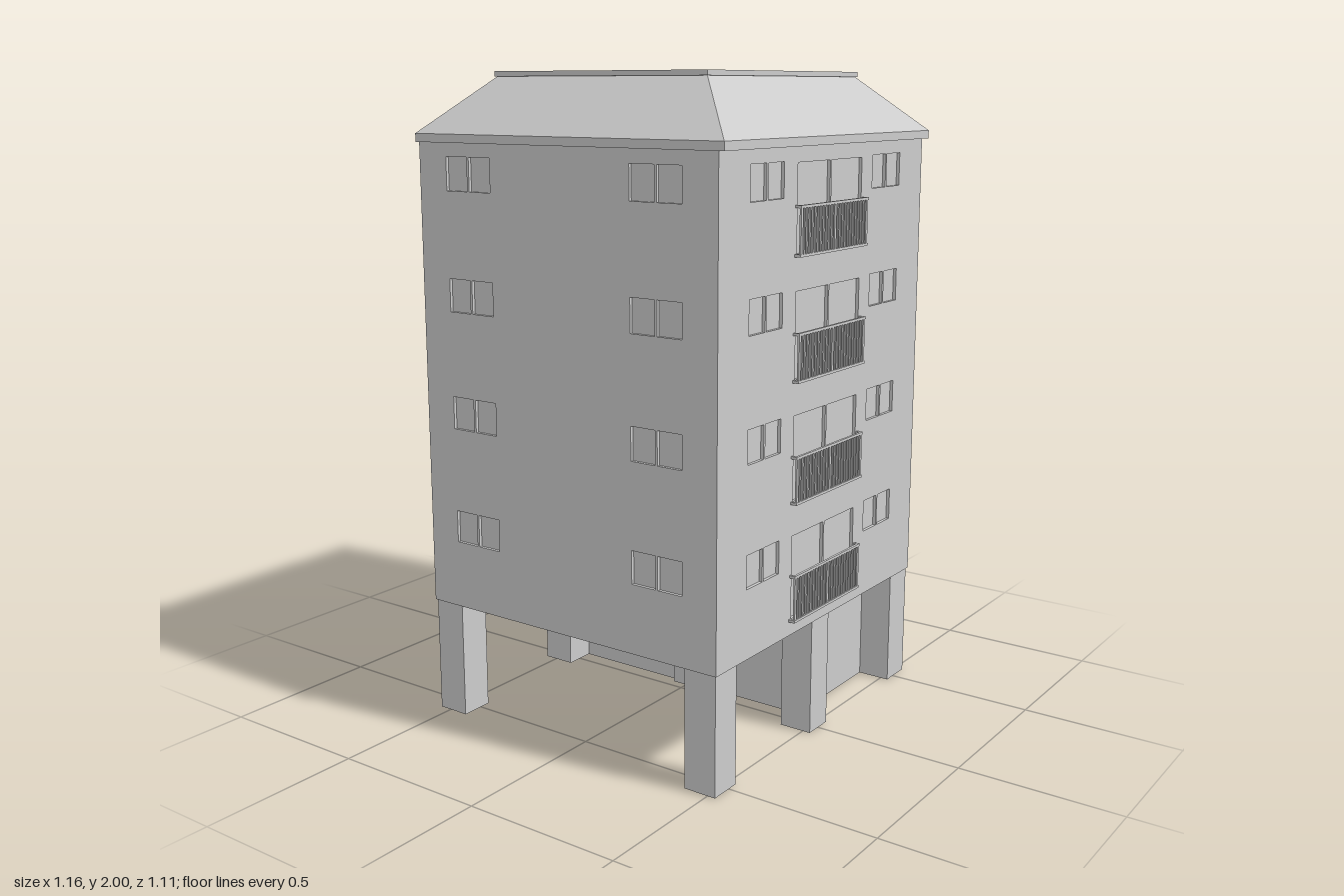
import * as THREE from 'three';

const mat = new THREE.MeshStandardMaterial({ color: 0xcccccc, flatShading: true });
const FLOORS = 4, STEP = 0.36;
const X = 0.575, Z0 = -0.545, Z1 = 0.53, ZC = (Z0 + Z1) / 2; // upper body extents
const Y0 = 0.365, Y1 = 1.8, RECESS = 0.01;

function add(parent, geo, name) {
  const m = new THREE.Mesh(geo, mat);
  m.name = name;
  parent.add(m);
  return m;
}

// Box given by its limits on each axis
function box(parent, name, [x0, x1], [y0, y1], [z0, z1]) {
  const m = add(parent, new THREE.BoxGeometry(x1 - x0, y1 - y0, z1 - z0), name);
  m.position.set((x0 + x1) / 2, (y0 + y1) / 2, (z0 + z1) / 2);
  return m;
}

function rect(target, x0, x1, y0, y1) {
  target.moveTo(x0, y0).lineTo(x1, y0).lineTo(x1, y1).lineTo(x0, y1).closePath();
  return target;
}

// Outer wall skin; each opening is [x0, x1, y0, y1, panes], repeated on every floor
function wall(parent, name, half, openings) {
  const shape = rect(new THREE.Shape(), -half, half, Y0, Y1);
  const gap = 0.004;
  for (let f = 0; f < FLOORS; f++) {
    for (const [x0, x1, y0, y1, panes] of openings) {
      const w = (x1 - x0) / panes;
      for (let i = 0; i < panes; i++) {
        shape.holes.push(rect(new THREE.Path(),
          x0 + i * w + (i ? gap : 0), x0 + (i + 1) * w - (i < panes - 1 ? gap : 0),
          y0 + f * STEP, y1 + f * STEP));
      }
    }
  }
  return add(parent, new THREE.ExtrudeGeometry(shape, { depth: RECESS, bevelEnabled: false }), name);
}

// Railing with top and bottom rails, bars and short returns to the wall
function balcony(y) {
  const g = new THREE.Group();
  g.name = 'balconyRailing';
  const h = 0.145, half = 0.195, zf = 0.55, t = 0.008;
  for (const ry of [y, y + h - t]) {
    box(g, 'rail', [-half, half], [ry, ry + t], [zf - t, zf]);
    for (const s of [-1, 1]) {
      const xs = s * (half - t / 2);
      box(g, 'railReturn', [xs - t / 2, xs + t / 2], [ry, ry + t], [Z1 - 0.002, zf - t]);
    }
  }
  const bars = 24;
  for (let i = 0; i <= bars; i++) {
    const x = -half + 0.008 + (i / bars) * (2 * half - 0.016);
    const w = i % 12 === 0 ? 0.005 : 0.003;
    box(g, 'bar', [x - w, x + w], [y + t, y + h - t], [zf - 0.007, zf - 0.001]);
  }
  return g;
}

export function createModel() {
  const model = new THREE.Group();
  model.name = 'apartmentBuilding';

  // Upper storeys: core behind four walls with recessed windows
  box(model, 'buildingCore', [-X + RECESS, X - RECESS], [Y0, Y1], [Z0 + RECESS, Z1 - RECESS]);
  const small = (a, b) => [a, b, 0.575, 0.675, 2];
  const front = wall(model, 'frontWall', X,
    [small(-0.425, -0.255), small(0.25, 0.425), [-0.183, 0.183, 0.415, 0.67, 2]]);
  front.position.z = Z1 - RECESS;
  const back = wall(model, 'backWall', X, [[-0.37, 0.37, 0.415, 0.67, 4]]);
  back.rotation.y = Math.PI;
  back.position.z = Z0 + RECESS;
  const sideHalf = (Z1 - Z0) / 2 - RECESS;
  for (const s of [-1, 1]) {
    // local x runs along -z on the left wall and +z on the right wall
    const spans = [[0.24, 0.415], [-0.437, -0.265]].map(([a, b]) => {
      const u = [-s * (a - ZC), -s * (b - ZC)].sort((p, q) => p - q);
      return small(u[0], u[1]);
    });
    const side = wall(model, s > 0 ? 'leftWall' : 'rightWall', sideHalf, spans);
    side.rotation.y = s * Math.PI / 2;
    side.position.set(s * (X - RECESS), 0, ZC);
  }

  // Balconies
  for (let f = 0; f < FLOORS; f++) model.add(balcony(0.408 + f * STEP));

  // Ground floor: closed half with recessed bays, open half on pillars
  const g0 = -0.54, g1 = 0.525, d = 0.105, H = [0, Y0];
  box(model, 'groundSideWall', [0.46, 0.57], H, [g0, g1]);
  box(model, 'groundRoom', [0.05, 0.46], H, [g0 + d, g1 - d]);
  box(model, 'entranceDoor', [0.03, 0.05], H, [-0.05, 0.15]);
  for (const [x0, x1] of [[-0.57, -0.465], [-0.05, 0.05]]) {
    box(model, 'frontPillar', [x0, x1], H, [g1 - d, g1]);
    box(model, 'backPillar', [x0, x1], H, [g0, g0 + d]);
  }

  // Roof: eave band, sloping sides, flat cap
  box(model, 'eaveBand', [-0.58, 0.58], [1.795, 1.82], [-0.555, 0.55]);
  const slope = new THREE.BoxGeometry(1.16, 0.165, 1.105);
  const p = slope.attributes.position;
  for (let i = 0; i < p.count; i++) {
    if (p.getY(i) > 0) {
      p.setX(i, p.getX(i) * 0.405 / 0.58);
      p.setZ(i, p.getZ(i) * 0.379 / 0.5525);
    }
  }
  slope.computeVertexNormals();
  add(model, slope, 'roofSlope').position.set(0, 1.9025, -0.0025);
  box(model, 'roofCap', [-0.412, 0.412], [1.985, 2], [-0.386, 0.381]);

  return model;
}
